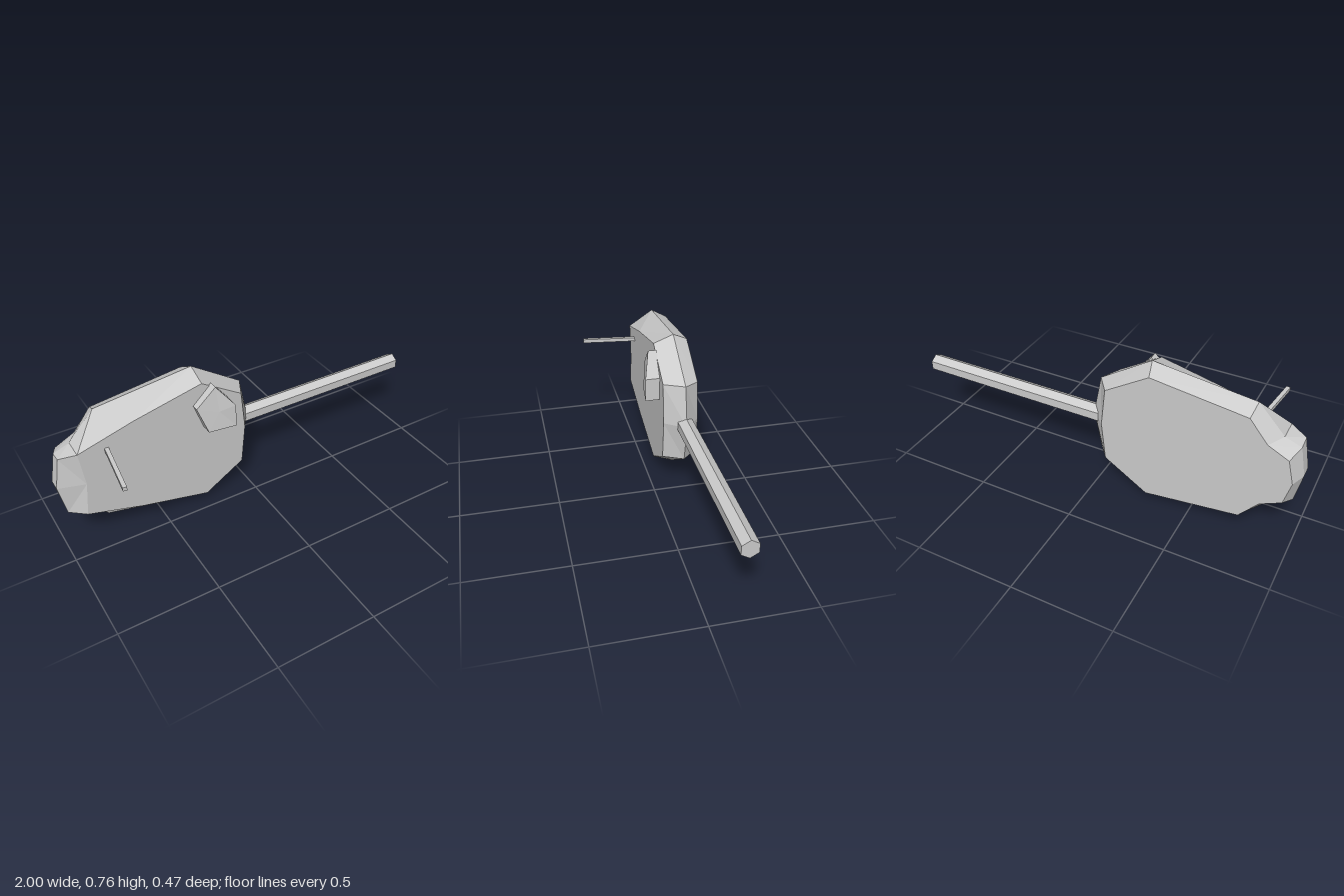
import * as THREE from 'three';

const AXIS_Y = 0.38;

// Skin closed loops (counter-clockwise from +z, ordered back to front) and cap both ends with fans
function loft(rings, backCentre, frontCentre) {
  const pos = [];
  const tri = (a, b, c) => pos.push(...a, ...b, ...c);
  const n = rings[0].length;
  const last = rings[rings.length - 1];
  for (let i = 0; i < n; i++) {
    const j = (i + 1) % n;
    for (let r = 0; r < rings.length - 1; r++) {
      const b = rings[r], f = rings[r + 1];
      tri(b[i], b[j], f[j]);
      tri(b[i], f[j], f[i]);
    }
    tri(backCentre, rings[0][j], rings[0][i]);
    tri(frontCentre, last[i], last[j]);
  }
  const g = new THREE.BufferGeometry();
  g.setAttribute('position', new THREE.Float32BufferAttribute(pos, 3));
  g.computeVertexNormals();
  return g;
}

// Complete a half outline by mirroring it across the long axis
function mirrored(half, z) {
  const upper = half.map(([x, y, pz = z]) => [x, y, pz]);
  const lower = upper.slice(1, -1).reverse().map(([x, y, pz]) => [x, 2 * AXIS_Y - y, pz]);
  return [...upper, ...lower];
}

export function createModel() {
  const model = new THREE.Group();
  model.name = 'turret';
  const material = new THREE.MeshStandardMaterial({ color: 0xcccccc, flatShading: true });
  const add = (name, geometry) => {
    const mesh = new THREE.Mesh(geometry, material);
    mesh.name = name;
    model.add(mesh);
    return mesh;
  };

  // Faceted shell: flat base, widest middle, roof dropping at the rear overhang
  const base = mirrored([[-0.04, AXIS_Y], [-0.06, 0.58], [-0.28, 0.72], [-0.75, 0.66],
    [-0.84, 0.55], [-0.94, 0.5], [-0.97, AXIS_Y]], -0.235);
  const middle = mirrored([[0.04, AXIS_Y], [0, 0.59], [-0.26, 0.76], [-0.76, 0.7],
    [-0.89, 0.56], [-0.97, 0.53], [-1, AXIS_Y]], -0.158);
  const roof = mirrored([[-0.03, AXIS_Y], [-0.05, 0.59], [-0.26, 0.72], [-0.61, 0.64],
    [-0.89, 0.56], [-0.97, 0.54, -0.095], [-1, AXIS_Y, -0.095]], -0.055);
  add('turretShell', loft([base, middle, roof], [-0.5, AXIS_Y, -0.235], [-0.87, AXIS_Y, -0.055]));

  // Hexagonal barrel
  const barrel = add('gunBarrel', new THREE.CylinderGeometry(0.045, 0.045, 1, 6));
  barrel.rotation.z = -Math.PI / 2;
  barrel.rotation.x = 0;
  barrel.geometry.rotateY(Math.PI / 2);
  barrel.position.set(0.5, AXIS_Y, -0.157);
  // Turn a corner of the hexagon upward
  barrel.geometry.computeBoundingBox();
  const size = barrel.geometry.boundingBox.getSize(new THREE.Vector3());
  if (size.x < size.z) barrel.geometry.rotateY(Math.PI / 2);

  // Five-sided hatch with a slanted top
  const hatchTop = [[-0.12, 0.47, 0.018], [-0.12, 0.59, 0.018], [-0.21, 0.705, -0.015],
    [-0.31, 0.61, -0.02], [-0.26, 0.47, 0]];
  const hatchBase = hatchTop.map(([x, y]) => [x, y, -0.06]);
  add('hatch', loft([hatchBase, hatchTop], [-0.2, 0.57, -0.06], [-0.2, 0.57, 0]));

  // Thin antenna leaning to the rear
  const from = new THREE.Vector3(-0.75, 0.535, -0.08);
  const to = new THREE.Vector3(-0.79, 0.535, 0.235);
  const antenna = add('antenna', new THREE.BoxGeometry(0.02, 0.02, from.distanceTo(to)));
  antenna.position.copy(from).lerp(to, 0.5);
  antenna.lookAt(to);

  return model;
}
